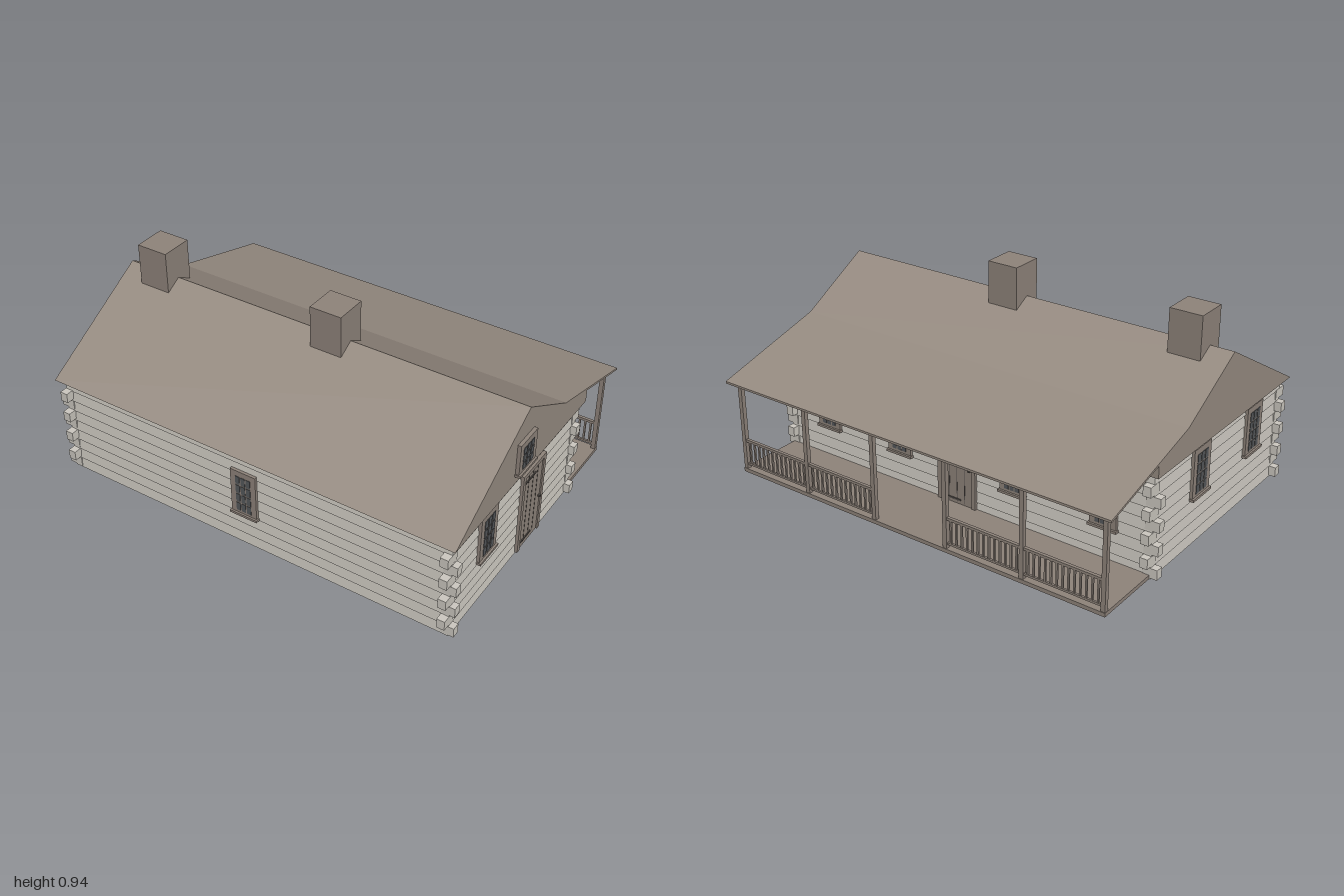
import * as THREE from 'three';

const mat = (name, color, side = THREE.FrontSide) => {
  const m = new THREE.MeshStandardMaterial({ color, side });
  m.name = name;
  return m;
};

export function createModel() {
  const wall = mat('pale log', 0xcdc9c1, THREE.DoubleSide);
  const roof = mat('brown roof', 0x978c82, THREE.DoubleSide);
  const trim = mat('brown timber', 0x8f847b);
  const glass = mat('dark glass', 0x55585b);
  const iron = mat('dark iron', 0x57524e);

  const house = new THREE.Group();
  house.name = 'logHouse';

  const add = (parent, name, geometry, material) => {
    const mesh = new THREE.Mesh(geometry, material);
    mesh.name = name;
    parent.add(mesh);
    return mesh;
  };
  // Box given by its minimum and maximum on each axis
  const box = (parent, name, material, x0, x1, y0, y1, z0, z1) => {
    const mesh = add(parent, name, new THREE.BoxGeometry(x1 - x0, y1 - y0, z1 - z0), material);
    mesh.position.set((x0 + x1) / 2, (y0 + y1) / 2, (z0 + z1) / 2);
    return mesh;
  };

  const L = -0.965, R = 0.94, F = 0.685, B = -0.36;   // wall planes
  const EL = -1, ER = 0.97, EF = 0.72, EB = -0.395;   // eave lines
  const EAVE = 0.47, COURSES = 9;

  // Open wall shell: each log course leans out slightly at its foot
  const ring = (y, o) => [
    [L - o, y, F + o], [R + o, y, F + o], [R + o, y, B - o], [L - o, y, B - o],
  ];
  const rings = [];
  for (let i = 0; i < COURSES; i++) {
    rings.push(ring(EAVE * i / COURSES, 0.005), ring(EAVE * (i + 1) / COURSES, 0));
  }
  const pos = [];
  for (let i = 0; i + 1 < rings.length; i++) {
    for (let k = 0; k < 4; k++) {
      const n = (k + 1) % 4;
      const a = rings[i][k], b = rings[i][n], c = rings[i + 1][n], d = rings[i + 1][k];
      pos.push(...a, ...b, ...c, ...a, ...c, ...d);
    }
  }
  const wallGeo = new THREE.BufferGeometry();
  wallGeo.setAttribute('position', new THREE.Float32BufferAttribute(pos, 3));
  wallGeo.computeVertexNormals();
  add(house, 'logWalls', wallGeo, wall);

  // Interlocking log ends at the four corners
  for (let i = 0; i < 8; i++) {
    const y = 0.006 + i * 0.053, top = y + 0.045;
    for (const right of [false, true]) {
      for (const front of [false, true]) {
        const along = i % 2 === 0;
        const x0 = right ? R - 0.03 : (along ? EL : L - 0.006);
        const x1 = right ? (along ? ER : R + 0.006) : L + 0.03;
        const z0 = front ? F - 0.03 : (along ? B - 0.006 : EB);
        const z1 = front ? (along ? F + 0.006 : 0.725) : B + 0.03;
        box(house, 'cornerLog', wall, x0, x1, y, top, z0, z1);
      }
    }
  }

  // Roof slopes: front, rear, and the shallower porch roof
  const slope = (name, z0, y0, z1, y1) => {
    const mesh = add(house, name, new THREE.PlaneGeometry(ER - EL, Math.hypot(z1 - z0, y1 - y0)), roof);
    mesh.position.set((EL + ER) / 2, (y0 + y1) / 2, (z0 + z1) / 2);
    mesh.rotation.x = Math.atan2(z1 - z0, y1 - y0);
    return mesh;
  };
  slope('frontRoof', EF, EAVE, 0.165, 0.79);
  slope('rearRoof', 0.165, 0.79, -0.18, 0.595);

  const extrudeX = (name, points, material) => {
    const shape = new THREE.Shape(points.map(([z, y]) => new THREE.Vector2(-z, y)));
    const geo = new THREE.ExtrudeGeometry(shape, { depth: ER - EL, bevelEnabled: false });
    geo.rotateY(Math.PI / 2);
    geo.translate(EL, 0, 0);
    return add(house, name, geo, material);
  };
  extrudeX('porchRoof', [[-0.18, 0.595], [-0.72, 0.448], [-0.72, 0.438], [-0.18, 0.585]], roof);

  // Gable ends
  const gableShape = new THREE.Shape([
    [EF, EAVE], [0.165, 0.79], [-0.18, 0.595], [EB, 0.534], [EB, EAVE],
  ].map(([z, y]) => new THREE.Vector2(-z, y)));
  for (const x of [EL, ER]) {
    const gable = add(house, 'gable', new THREE.ShapeGeometry(gableShape), roof);
    gable.rotation.y = Math.PI / 2;
    gable.position.x = x;
  }
  box(house, 'rearFascia', roof, EL, ER, EAVE, 0.53, EB, EB + 0.005);

  // Soffit around the top of the walls
  const rect = (S, x0, x1, z0, z1) => new S([
    [x0, z0], [x1, z0], [x1, z1], [x0, z1],
  ].map(([x, z]) => new THREE.Vector2(x, z)));
  const soffitShape = rect(THREE.Shape, EL, ER, EB, EF);
  soffitShape.holes.push(rect(THREE.Path, L, R, B, F));
  const soffit = add(house, 'soffit', new THREE.ShapeGeometry(soffitShape), roof);
  soffit.rotation.x = Math.PI / 2;
  soffit.position.y = EAVE;

  // Chimneys astride the ridge
  for (const x of [-0.815, 0.078]) {
    box(house, 'chimney', trim, x - 0.075, x + 0.075, 0.745, 0.94, 0.088, 0.238);
  }

  // Fittings are built facing +z, then turned onto their wall
  const place = (name, x, y, z, turn) => {
    const g = new THREE.Group();
    g.name = name;
    g.position.set(x, y, z);
    g.rotation.y = turn;
    house.add(g);
    return g;
  };
  const addWindow = (x, y, z, turn, w, h, rows) => {
    const g = place('window', x, y, z, turn);
    box(g, 'windowFrame', trim, -w / 2, w / 2, 0, h, -0.005, 0.016);
    box(g, 'windowSill', trim, -w / 2 - 0.005, w / 2 + 0.005, -0.008, 0.003, -0.005, 0.025);
    const pw = (w - 0.046) / 3, ph = (h - 0.036) / rows;
    for (let r = 0; r < rows; r++) {
      for (let c = -1; c <= 1; c++) {
        const y0 = 0.012 + r * ph;
        box(g, 'windowPane', glass, (c - 0.5) * pw + 0.003, (c + 0.5) * pw - 0.003,
          y0 + 0.003, y0 + ph - 0.003, 0.015, 0.018);
      }
    }
  };
  const addDoor = (x, z, turn) => {
    const g = place('door', x, 0.005, z, turn);
    box(g, 'doorLeaf', trim, -0.08, 0.08, 0, 0.39, -0.005, 0.01);
    box(g, 'doorLintel', trim, -0.1, 0.1, 0.385, 0.405, -0.005, 0.016);
    for (const s of [-1, 1]) {
      box(g, 'doorJamb', trim, s * 0.09 - 0.01, s * 0.09 + 0.01, 0, 0.39, -0.005, 0.016);
    }
    for (const gx of [-0.04, 0, 0.04]) {
      box(g, 'plankGap', iron, gx - 0.0015, gx + 0.0015, 0.02, 0.38, 0.008, 0.011);
    }
    for (const gy of [0.033, 0.352]) {
      box(g, 'hinge', iron, -0.08, 0.02, gy - 0.004, gy + 0.004, 0.008, 0.014);
    }
    box(g, 'doorHandle', iron, 0.065, 0.075, 0.188, 0.196, 0.008, 0.022);
  };
  const E = Math.PI / 2;
  addWindow(-0.018, 0.165, F, 0, 0.125, 0.22, 4);
  addWindow(R, 0.225, 0.415, E, 0.135, 0.22, 4);
  addWindow(ER, 0.52, 0.185, E, 0.14, 0.145, 3);
  for (const z of [-0.01, 0.44]) addWindow(L, 0.225, z, -E, 0.135, 0.22, 4);
  for (const x of [0.7, 0.29, -0.31, -0.75]) addWindow(x, 0.165, B, Math.PI, 0.125, 0.22, 4);
  addDoor(R, 0.03, E);
  addDoor(-0.02, B, Math.PI);

  // Rear porch: deck, posts and railings with an open middle bay
  box(house, 'porchDeck', trim, L, R, 0, 0.018, -0.685, B);
  box(house, 'porchBeam', trim, L, R, 0.44, 0.453, -0.68, -0.66);
  const postX = i => -0.953 + i * 0.3765;
  for (let i = 0; i < 6; i++) {
    const x = postX(i);
    box(house, 'porchPost', trim, x - 0.01, x + 0.01, 0.015, 0.452, -0.682, -0.662);
    if (i === 5 || i === 2) continue;
    const x1 = postX(i + 1);
    box(house, 'topRail', trim, x, x1, 0.15, 0.162, -0.679, -0.665);
    box(house, 'bottomRail', trim, x, x1, 0.035, 0.045, -0.677, -0.667);
    for (let k = 1; k < 14; k++) {
      const bx = x + (x1 - x) * k / 14;
      box(house, 'baluster', trim, bx - 0.004, bx + 0.004, 0.04, 0.155, -0.676, -0.668);
    }
  }
  return house;
}
